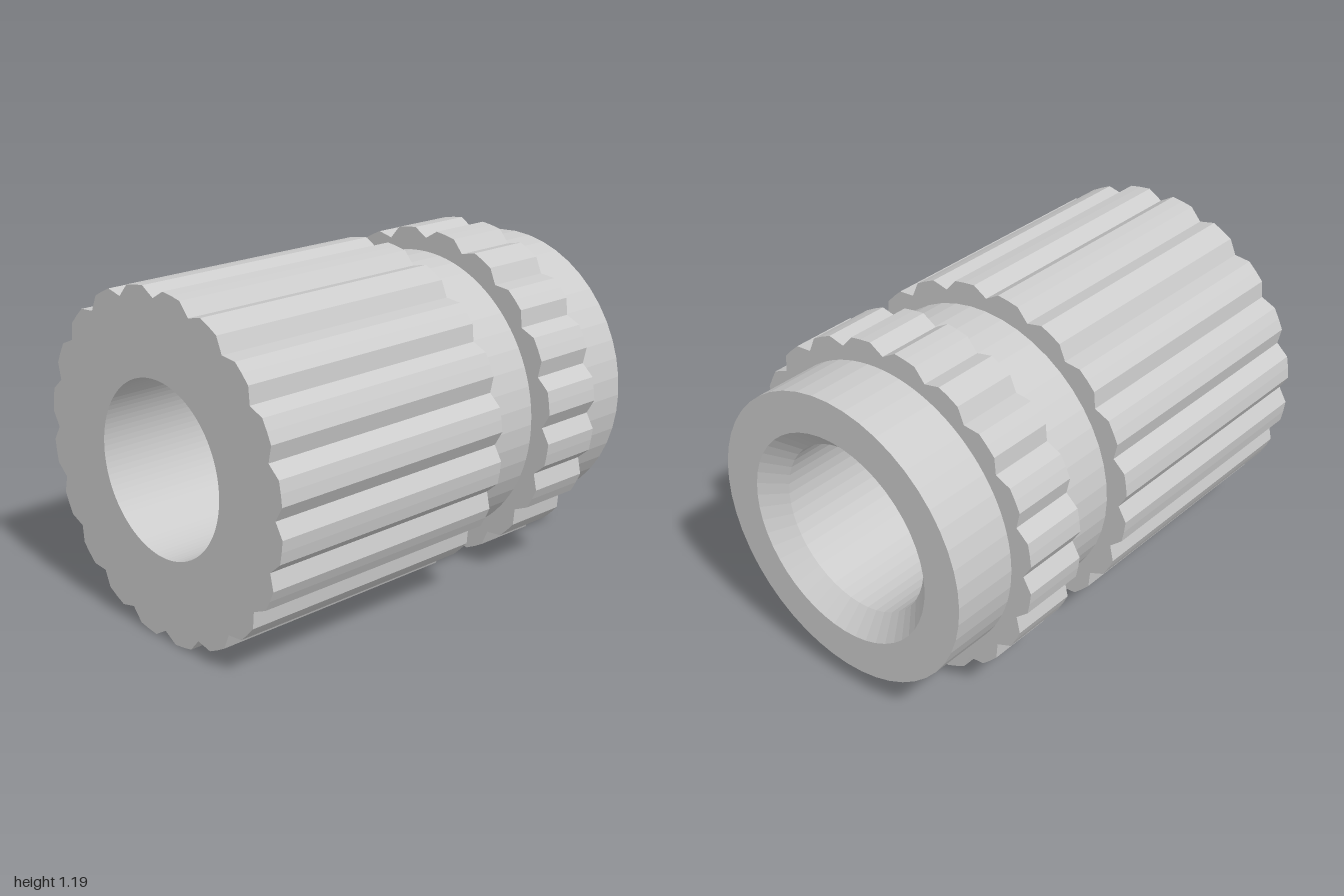
import * as THREE from 'three';

const UNIT = 0.2377;       // the axial layout is seven equal units
const R_TOOTH = 0.595, R_NOTCH = 0.562, R_SLEEVE = 0.514, R_BORE = 0.3;
const CHAMFER = 0.073;
const NOTCHES = 20, SEGMENTS = 48;

const material = new THREE.MeshStandardMaterial({ color: 0xcccccc, flatShading: true });

// Knurled ring along +z: evenly spaced V notches around a round hole
function knurledRing(name, start, length, holeRadius) {
  const half = THREE.MathUtils.degToRad(5);
  const step = (Math.PI * 2) / NOTCHES;
  const points = [];
  const add = (r, a) => points.push(new THREE.Vector2(r * Math.cos(a), r * Math.sin(a)));
  for (let i = 0; i < NOTCHES; i++) {
    const a = i * step;
    add(R_TOOTH, a - half);
    add(R_NOTCH, a);
    add(R_TOOTH, a + half);
    add(R_TOOTH, a + step / 2);
  }
  const shape = new THREE.Shape(points);
  shape.holes.push(new THREE.Path().absarc(0, 0, holeRadius, 0, Math.PI * 2, true));
  const geometry = new THREE.ExtrudeGeometry(shape, {
    depth: length, bevelEnabled: false, curveSegments: SEGMENTS,
  });
  const mesh = new THREE.Mesh(geometry, material);
  mesh.name = name;
  mesh.position.z = start;
  return mesh;
}

export function createModel() {
  const insert = new THREE.Group();
  insert.name = 'threadedInsert';

  // Long knurled body with the bore, and the short knurled collar
  insert.add(knurledRing('knurledBody', 0, 4 * UNIT, R_BORE));
  insert.add(knurledRing('knurledCollar', 5 * UNIT, UNIT, R_SLEEVE));

  // Plain sleeve: outside wall, end face, chamfer, bore
  const profile = [
    [R_SLEEVE, 4 * UNIT],
    [R_SLEEVE, 7 * UNIT],
    [R_BORE + CHAMFER, 7 * UNIT],
    [R_BORE, 7 * UNIT - CHAMFER],
    [R_BORE, 4 * UNIT],
  ].map(([r, y]) => new THREE.Vector2(r, y));
  const sleeve = new THREE.Mesh(
    new THREE.LatheGeometry(profile, SEGMENTS).rotateX(Math.PI / 2), material);
  sleeve.name = 'sleeve';
  insert.add(sleeve);

  // Lying on its side, turned so the body end faces front left
  insert.rotation.y = Math.PI - 0.645;
  insert.position.set(-0.47, 0.593, 0.643);

  const model = new THREE.Group();
  model.name = 'model';
  model.add(insert);
  return model;
}
